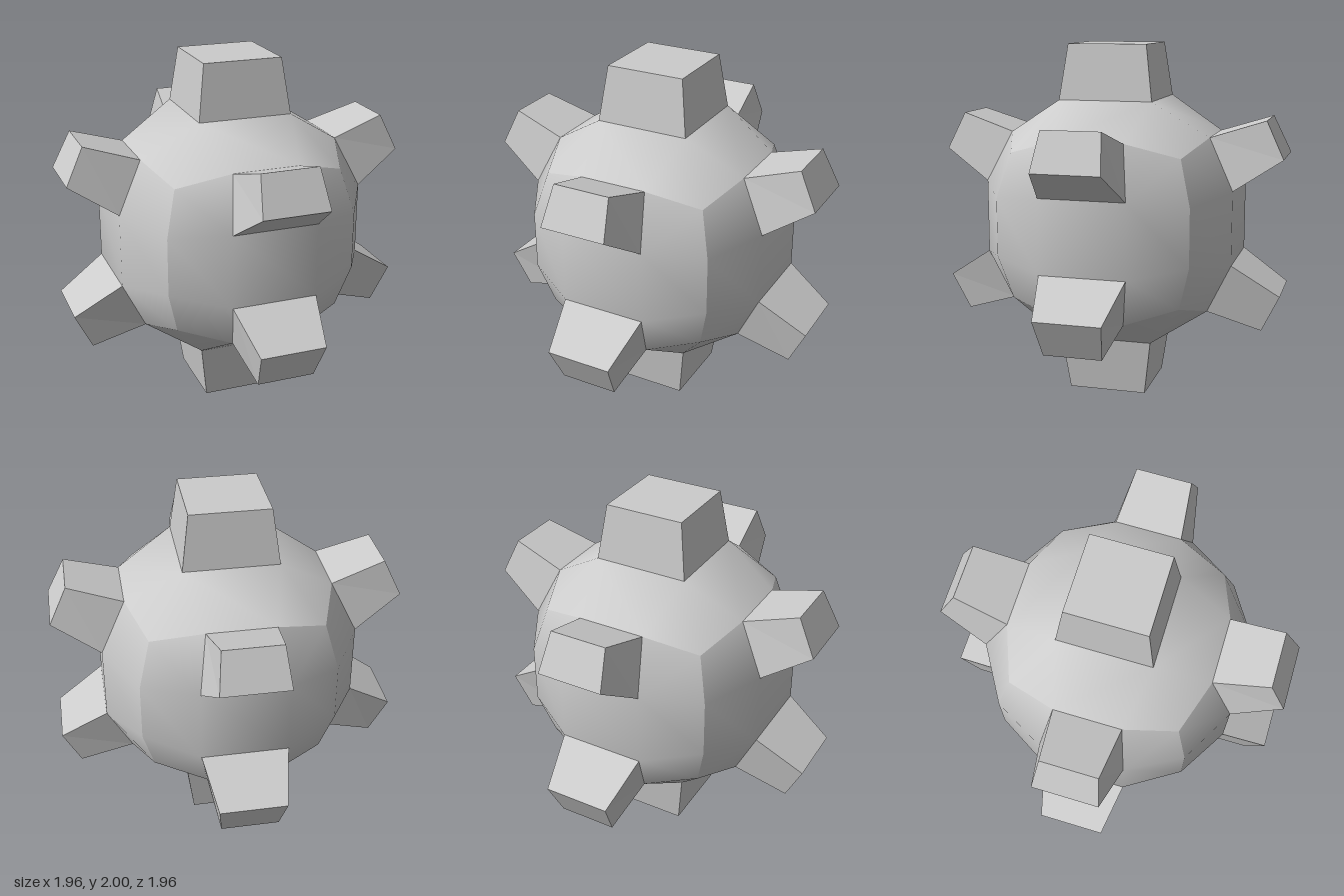
import * as THREE from 'three';

const CENTRE_Y = 1.005;
const material = new THREE.MeshStandardMaterial({ color: 0xcccccc });

// 4 x 4 points of one cube-sphere face, mirrored from two rows of [x, y, z]
// (rows run top to bottom as seen from outside; flip negates the row axis)
function grid(rowA, rowB, axis) {
  const spread = (row) => [
    ...row.map(([x, y, z]) => [-x, y, z]),
    ...[...row].reverse().map((p) => [...p]),
  ];
  const flip = (row) => row.map((p) => p.map((v, i) => (i === axis ? -v : v)));
  const a = spread(rowA), b = spread(rowB);
  return [a, b, flip(b), flip(a)];
}

// Smooth curved panel, leaving out the cells that carry a block
function panel(points, openCells) {
  const index = [];
  for (let r = 0; r < 3; r++) {
    for (let c = 0; c < 3; c++) {
      if (openCells.some(([or, oc]) => or === r && oc === c)) continue;
      const a = r * 4 + c, b = a + 4, d = a + 1, e = a + 5;
      if ((r - 1) * (c - 1) < 0) index.push(a, b, d, b, e, d);
      else index.push(a, b, e, a, e, d);
    }
  }
  const g = new THREE.BufferGeometry();
  g.setAttribute('position', new THREE.Float32BufferAttribute(points.flat(2), 3));
  g.setIndex(index);
  g.computeVertexNormals();
  return g;
}

// Tapered block between a base loop and an outer loop of four corners
function block(base, outer) {
  const pos = [];
  const quad = (a, b, c, d) => pos.push(...a, ...b, ...c, ...a, ...c, ...d);
  for (let i = 0; i < 4; i++) {
    const j = (i + 1) % 4;
    quad(base[i], base[j], outer[j], outer[i]);
  }
  quad(...outer);
  const g = new THREE.BufferGeometry();
  g.setAttribute('position', new THREE.Float32BufferAttribute(pos, 3));
  g.computeVertexNormals();
  return g;
}

// Four corners from an upper and a lower edge, each symmetric in x
const loop = ([x1, y1, z1], [x2, y2, z2]) =>
  [[-x1, y1, z1], [-x2, y2, z2], [x2, y2, z2], [x1, y1, z1]];

export function createModel() {
  const model = new THREE.Group();
  model.name = 'studdedSphere';
  const core = new THREE.Group();
  core.name = 'core';
  core.position.y = CENTRE_Y;
  model.add(core);

  const add = (parent, name, geometry) => {
    const mesh = new THREE.Mesh(geometry, material);
    mesh.name = name;
    parent.add(mesh);
    return mesh;
  };

  // Four sides, each with an upper and a lower block
  const sidePanel = panel(grid(
    [[0.475, 0.41, 0.475], [0.19, 0.493, 0.575]],
    [[0.54, 0.163, 0.54], [0.24, 0.208, 0.715]], 1), [[0, 1], [2, 1]]);
  const sideBlock = block(
    loop([0.19, 0.493, 0.575], [0.24, 0.208, 0.715]),
    loop([0.16, 0.59, 0.88], [0.185, 0.382, 0.98]));
  ['front', 'left', 'back', 'right'].forEach((name, i) => {
    const side = new THREE.Group();
    side.name = name + 'Side';
    side.rotation.y = i * Math.PI / 2;
    add(side, name + 'Panel', sidePanel);
    add(side, name + 'UpperBlock', sideBlock);
    add(side, name + 'LowerBlock', sideBlock).rotation.z = Math.PI;
    core.add(side);
  });

  // Top and bottom caps, each with one larger block
  const capPanel = panel(grid(
    [[0.475, 0.41, -0.475], [0.19, 0.493, -0.575]],
    [[0.575, 0.493, -0.19], [0.265, 0.686, -0.265]], 2), [[1, 1]]);
  for (const [name, height, turn] of [['top', 0.995, 0], ['bottom', CENTRE_Y, Math.PI]]) {
    const cap = new THREE.Group();
    cap.name = name + 'Cap';
    cap.rotation.x = turn;
    add(cap, name + 'Panel', capPanel);
    add(cap, name + 'Block', block(
      loop([0.265, 0.686, -0.265], [0.265, 0.686, 0.265]),
      loop([0.223, height, -0.223], [0.223, height, 0.223])));
    core.add(cap);
  }
  return model;
}
